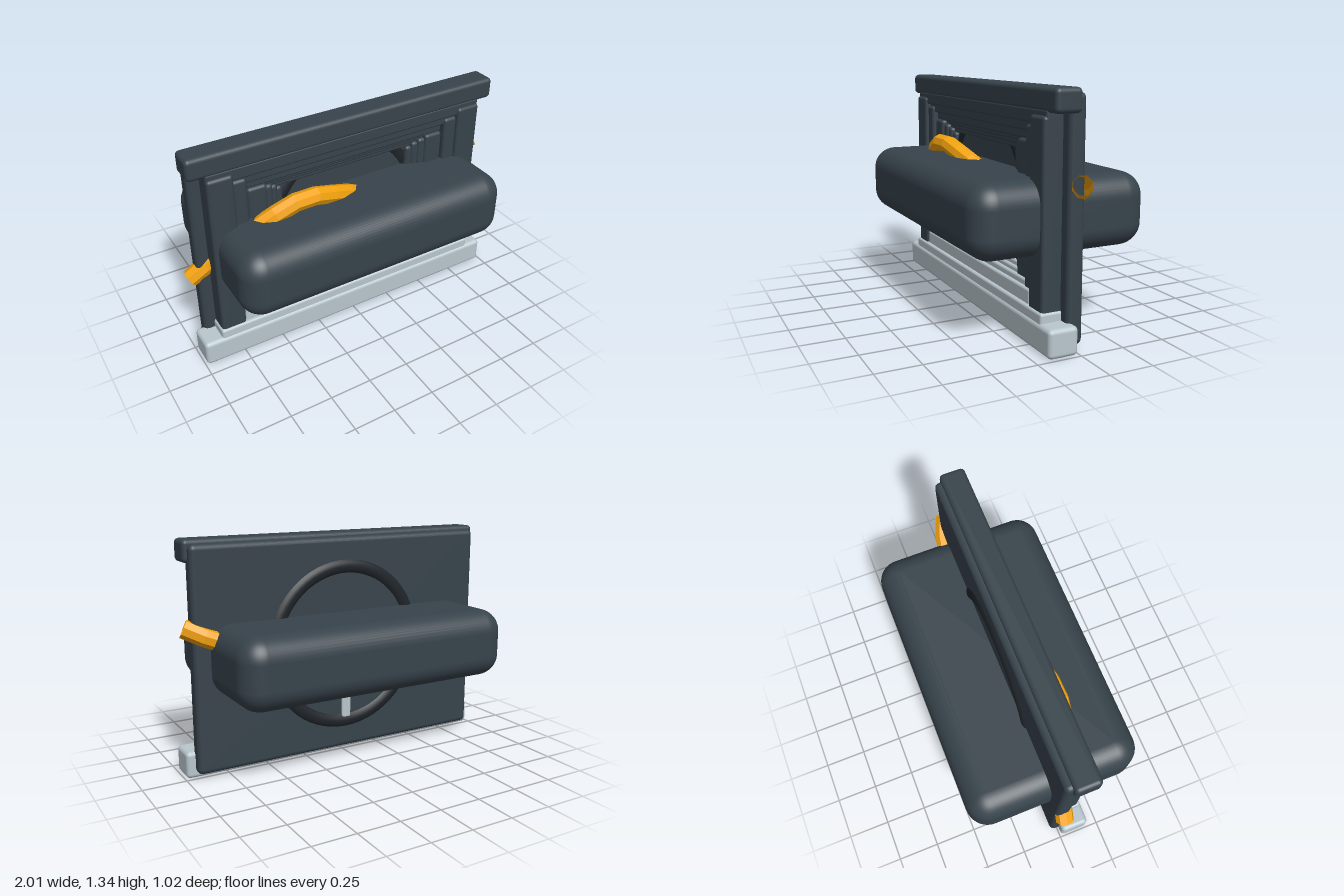
import * as THREE from 'three';
import { RoundedBoxGeometry } from 'three/addons/geometries/RoundedBoxGeometry.js';

const dark = new THREE.MeshStandardMaterial({ color: 0x37434b });
const black = new THREE.MeshStandardMaterial({ color: 0x20252a });
const pale = new THREE.MeshStandardMaterial({ color: 0xb9c7ce });
const orange = new THREE.MeshStandardMaterial({ color: 0xf2a20d, flatShading: true, side: THREE.DoubleSide });

// Rounded block given by its extents on each axis
function block(name, mat, [x0, x1], [y0, y1], [z0, z1], radius = 0.02, segments = 3) {
  const w = x1 - x0, h = y1 - y0, d = z1 - z0;
  const r = Math.min(radius, w * 0.45, h * 0.45, d * 0.45);
  const mesh = new THREE.Mesh(new RoundedBoxGeometry(w, h, d, segments, r), mat);
  mesh.position.set((x0 + x1) / 2, (y0 + y1) / 2, (z0 + z1) / 2);
  mesh.name = name;
  return mesh;
}

export function createModel() {
  const model = new THREE.Group();
  model.name = 'steppedFrame';

  // Back panel, base and top beam
  model.add(
    block('backPanel', dark, [-0.94, 0.94], [0.03, 1.31], [-0.045, 0.05], 0.03),
    block('base', pale, [-0.99, 0.99], [0, 0.155], [0.01, 0.18], 0.025),
    block('topBeam', dark, [-0.965, 0.965], [1.21, 1.335], [-0.005, 0.145], 0.025)
  );

  // Nested arches receding towards the panel: inner x, outer x, column top, header bottom, front z
  const arches = [
    [0.72, 0.87, 1.195, 1.15, 0.158],
    [0.64, 0.73, 1.14, 1.1, 0.138],
    [0.52, 0.637, 1.057, 1.055, 0.12],
    [0.48, 0.56, 1.035, 1.033, 0.104],
    [0.445, 0.5, 1.015, 1.01, 0.09],
    [0.41, 0.46, 0.99, 0.985, 0.078]
  ];
  arches.forEach(([xi, xo, top, under, z], i) => {
    const depth = [0.03, z];
    model.add(
      block('leftColumn' + i, dark, [xi, xo], [0.15, top], depth),
      block('rightColumn' + i, dark, [-xo, -xi], [0.15, top], depth),
      block('header' + i, dark, [-xo, xo], [under, i ? arches[i - 1][3] + 0.015 : 1.225], [0.03, z - 0.015], 0.012)
    );
  });

  // Pale steps: half width, top, front z
  [
    [0.88, 0.205, 0.17], [0.72, 0.285, 0.15], [0.66, 0.32, 0.132],
    [0.62, 0.348, 0.115], [0.56, 0.377, 0.1]
  ].forEach(([hw, top, z], i) =>
    model.add(block('step' + i, pale, [-hw, hw], [0.12, top], [0.03, z], 0.014)));

  // Ring set through the panel, with a pale upright inside it
  const ring = new THREE.Mesh(new THREE.TorusGeometry(0.47, 0.06, 16, 64), black);
  ring.name = 'ring';
  ring.position.y = 0.67;
  model.add(ring, block('upright', pale, [-0.03, 0.03], [0.2, 0.67], [-0.055, 0.065], 0.01));

  // Large rounded block passing through the middle
  model.add(block('crossBlock', dark, [-0.845, 0.845], [0.47, 0.873], [-0.51, 0.51], 0.13, 6));

  // Winding open tube
  const path = new THREE.CatmullRomCurve3([
    [-0.97, 0.52, 0], [-0.8, 0.65, 0.04], [-0.58, 0.84, 0.15], [-0.35, 0.94, 0.185],
    [-0.09, 0.875, 0.15], [0.2, 0.74, 0.05], [0.5, 0.7, -0.05], [0.82, 0.79, -0.06], [0.98, 0.865, 0]
  ].map(p => new THREE.Vector3(...p)));
  const tube = new THREE.Mesh(new THREE.TubeGeometry(path, 18, 0.053, 8), orange);
  tube.name = 'windingTube';
  model.add(tube);

  return model;
}
